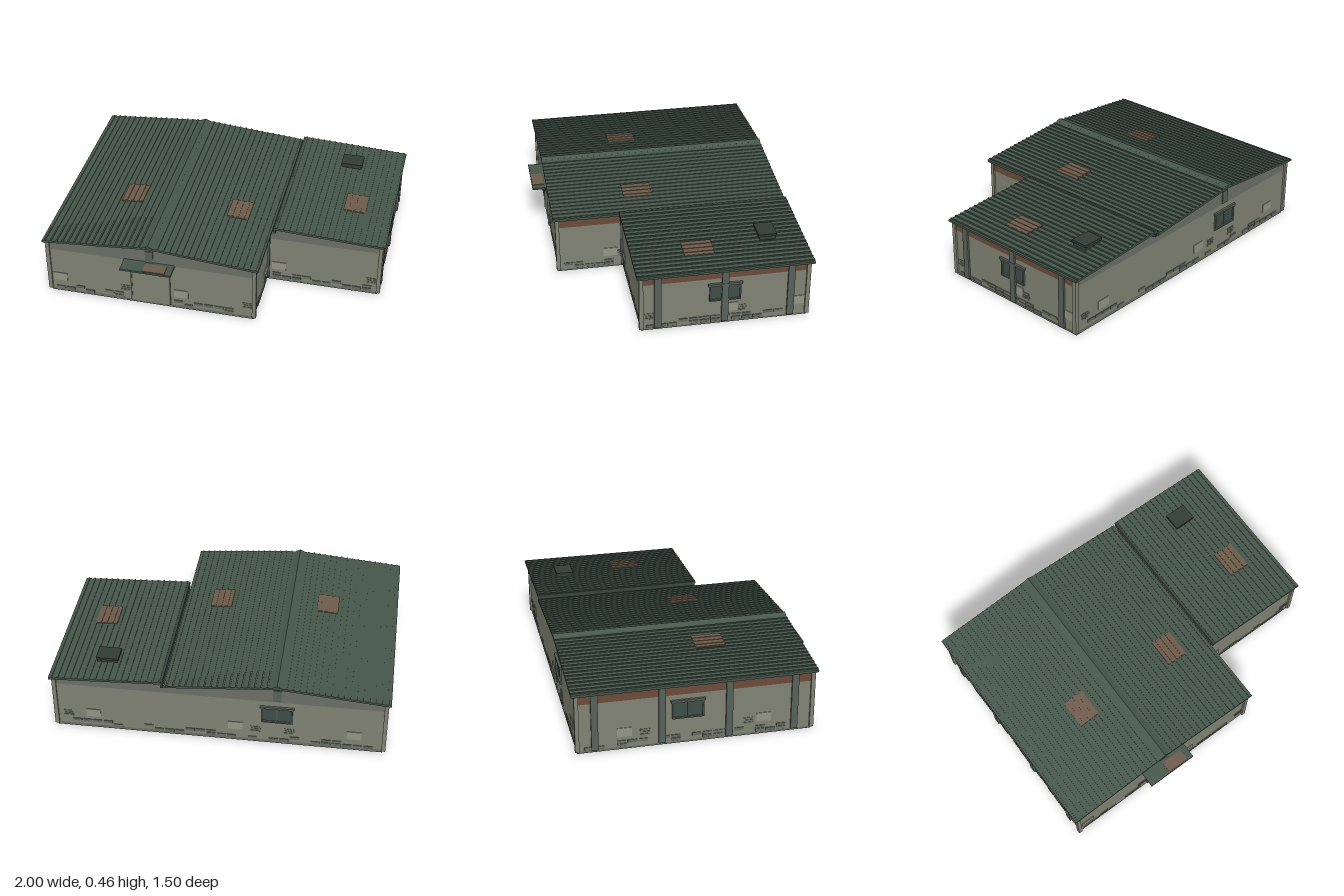
import * as THREE from 'three';

const C = {
  wall: 0x7f8272, gable: 0x6a6f66, band: 0x6b4b3b, post: 0x566059, roof: 0x45564a,
  trim: 0x37443c, rust: 0x6d5b4a, dark: 0x333b37, floor: 0x363531, base: 0x6a6d64,
  patch: 0x939584, brick: 0x5f6860, brick2: 0x6f7367, lamp: 0xb89a3c, glass: 0x3f4d48
};
const mats = {};
const mat = (c) => (mats[c] ??= new THREE.MeshStandardMaterial({ color: c, flatShading: true }));

function add(parent, name, geo, color, x = 0, y = 0, z = 0) {
  const m = new THREE.Mesh(geo, mat(color));
  m.name = name;
  m.position.set(x, y, z);
  parent.add(m);
  return m;
}

// box given by its limits
function box(parent, name, color, x0, x1, y0, y1, z0, z1) {
  return add(parent, name, new THREE.BoxGeometry(x1 - x0, y1 - y0, z1 - z0), color,
    (x0 + x1) / 2, (y0 + y1) / 2, (z0 + z1) / 2);
}

// cross-section in x/y, drawn out along z
function prism(parent, name, color, pts, z0, z1) {
  const shape = new THREE.Shape(pts.map(([x, y]) => new THREE.Vector2(x, y)));
  const geo = new THREE.ExtrudeGeometry(shape, { depth: z1 - z0, bevelEnabled: false });
  return add(parent, name, geo, color, 0, 0, z0);
}

// ribbed sheet whose top follows the line `tops`, ribs running along z
function ribbedRoof(parent, name, tops, z0, z1, thick = 0.013) {
  const pts = [...tops].reverse().map(([x, y]) => [x, y - thick]);
  for (let i = 0; i < tops.length - 1; i++) {
    const [xa, ya] = tops[i], [xb, yb] = tops[i + 1];
    const at = (x) => ya + ((yb - ya) * (x - xa)) / (xb - xa);
    const n = Math.round((xb - xa) / 0.037), step = (xb - xa) / n;
    pts.push([xa, ya]);
    for (let k = 0; k < n; k++) {
      const a = xa + (k + 0.4) * step, b = a + step * 0.25;
      pts.push([a, at(a)], [a, at(a) + 0.005], [b, at(b) + 0.005], [b, at(b)]);
    }
  }
  pts.push(tops[tops.length - 1]);
  return prism(parent, name, C.roof, pts, z0, z1);
}

// group whose local +z is the outward direction of a wall
function wallFace(parent, name, x, z, turn) {
  const g = new THREE.Group();
  g.name = name;
  g.position.set(x, 0, z);
  g.rotation.y = turn;
  parent.add(g);
  return g;
}

let seed = 7;
const rnd = () => (seed = (seed * 16807) % 2147483647) / 2147483647;

// worn bricks along the foot of a wall, from u0 to u1
function footBricks(face, u0, u1) {
  for (let row = 0; row < 2; row++)
    for (let u = u0 + 0.02; u < u1 - 0.07; u += 0.062)
      if (rnd() < 0.6) {
        const y = 0.02 + row * 0.021;
        box(face, 'footBrick', rnd() < 0.6 ? C.brick : C.brick2, u, u + 0.054, y, y + 0.018, 0, 0.004);
      }
}

function patch(face, u) {
  box(face, 'plasterPatch', C.patch, u - 0.043, u + 0.043, 0.083, 0.138, 0, 0.004);
}

function brickCluster(face, u) {
  for (let r = 0; r < 3; r++)
    for (let k = 0; k < 2; k++) {
      const x = u - 0.03 + k * 0.03 + (r % 2) * 0.006;
      box(face, 'exposedBrick', C.brick2, x, x + 0.026, 0.076 + r * 0.015, 0.087 + r * 0.015, 0, 0.003);
    }
}

function windowUnit(face, u) {
  const g = new THREE.Group();
  g.name = 'window';
  g.position.x = u;
  face.add(g);
  box(g, 'glass', C.glass, -0.085, 0.085, 0.17, 0.268, 0, 0.002);
  for (const s of [-1, 1])
    box(g, 'windowJamb', C.post, s * 0.088 - 0.004, s * 0.088 + 0.004, 0.17, 0.268, 0, 0.01);
  box(g, 'windowMullion', C.post, -0.003, 0.003, 0.17, 0.268, 0, 0.006);
  box(g, 'windowSill', C.post, -0.092, 0.092, 0.163, 0.171, 0, 0.012);
  box(g, 'windowHood', C.post, -0.1, 0.1, 0.266, 0.28, 0, 0.014);
}

function gableVent(face, u) {
  box(face, 'gableVent', C.post, u - 0.024, u + 0.024, 0.32, 0.4, 0, 0.006);
}

function sideBand(face, u0, u1, top) {
  box(face, 'rustBand', C.band, u0, u1, 0.312, top, -0.004, 0.003);
}

function posts(face, us, top) {
  for (const u of us) box(face, 'wallPost', C.post, u - 0.02, u + 0.02, 0.018, top, 0, 0.012);
}

export function createModel() {
  const g = new THREE.Group();
  g.name = 'warehouse';
  const back = -0.72, front = 0.645, wingFront = 0.25, ridge = -0.345;

  // floor slab and foundation
  box(g, 'foundation', C.base, -0.97, 0.285, 0.002, 0.02, back, front);
  box(g, 'wingFoundation', C.base, 0.285, 0.97, 0.002, 0.02, back, wingFront);
  box(g, 'underside', C.floor, -0.97, 0.285, 0, 0.002, back, front);
  box(g, 'wingUnderside', C.floor, 0.285, 0.97, 0, 0.002, back, wingFront);

  // walls with grey gables above
  box(g, 'mainWalls', C.wall, -0.975, 0.29, 0.015, 0.312, back, front);
  box(g, 'wingWalls', C.wall, 0.29, 0.975, 0.015, 0.312, back, wingFront);
  prism(g, 'mainGable', C.gable,
    [[-0.975, 0.312], [0.29, 0.312], [0.29, 0.377], [ridge, 0.43], [-0.975, 0.377]], back, front);
  prism(g, 'wingGable', C.gable,
    [[0.29, 0.312], [0.975, 0.312], [0.975, 0.366], [0.335, 0.398], [0.335, 0.37], [0.29, 0.37]], back, wingFront);

  // ribbed roofs, ridge cap and eave trims
  ribbedRoof(g, 'mainRoof', [[-1, 0.386], [ridge, 0.442], [0.315, 0.386]], -0.75, 0.67);
  ribbedRoof(g, 'wingRoof', [[0.323, 0.41], [1, 0.376]], -0.75, 0.275);
  prism(g, 'ridgeCap', C.roof,
    [[ridge - 0.03, 0.442], [ridge + 0.03, 0.442], [ridge, 0.455]], -0.75, 0.67);
  box(g, 'wingStepFascia', C.trim, 0.323, 0.335, 0.368, 0.41, -0.745, 0.27);
  box(g, 'leftEaveTrim', C.trim, -0.999, -0.985, 0.37, 0.385, -0.745, 0.665);
  box(g, 'mainRightEaveTrim', C.trim, 0.3, 0.314, 0.37, 0.385, -0.745, 0.665);
  box(g, 'rightEaveTrim', C.trim, 0.985, 0.999, 0.366, 0.376, -0.745, 0.27);

  // rusty roof sheets, ribbed like the roof
  const sheet = (x, z, y, slope) => {
    const s = new THREE.Group();
    s.name = 'rustySheet';
    s.position.set(x, y, z);
    s.rotation.z = Math.atan(slope);
    box(s, 'sheet', C.rust, -0.066, 0.066, -0.003, 0.006, -0.088, 0.088);
    for (let i = -1; i <= 1; i++)
      box(s, 'sheetRib', C.rust, i * 0.037 - 0.005, i * 0.037 + 0.005, 0.006, 0.01, -0.088, 0.088);
    g.add(s);
  };
  sheet(-0.57, 0.13, 0.423, 0.085);
  sheet(0.09, 0.13, 0.405, -0.085);
  sheet(0.765, -0.115, 0.388, -0.05);

  // roof hatch
  box(g, 'roofHatchCurb', C.trim, 0.62, 0.74, 0.385, 0.41, -0.58, -0.485);
  box(g, 'roofHatchLid', C.dark, 0.613, 0.747, 0.41, 0.425, -0.587, -0.478);

  // corner trims
  for (const [x, z] of [[-0.975, front], [0.29, front], [-0.975, back], [0.975, back], [0.975, wingFront]])
    box(g, 'cornerTrim', C.wall, x - 0.012, x + 0.012, 0.017, 0.37, z - 0.012, z + 0.012);
  box(g, 'innerCornerTrim', C.post, 0.288, 0.302, 0.017, 0.372, wingFront, wingFront + 0.012);

  // front wall: door, lit sign box and canopy
  const f = wallFace(g, 'frontWall', 0, front, 0);
  box(f, 'door', C.wall, -0.458, -0.227, 0.018, 0.285, 0, 0.006);
  for (const x of [-0.46, -0.225])
    box(f, 'doorJamb', C.gable, x - 0.004, x + 0.004, 0.018, 0.285, 0, 0.01);
  box(f, 'lampBox', C.dark, -0.425, -0.26, 0.279, 0.308, 0, 0.02);
  for (const x of [-0.395, -0.36])
    box(f, 'lamp', C.lamp, x - 0.009, x + 0.009, 0.285, 0.302, 0.018, 0.023);
  box(f, 'canopy', C.roof, -0.5, -0.19, 0.308, 0.32, 0, 0.1);
  box(f, 'canopyRustySheet', C.rust, -0.365, -0.23, 0.319, 0.324, 0.025, 0.095);
  for (const x of [-0.485, -0.205])
    box(f, 'canopyBracket', C.trim, x - 0.005, x + 0.005, 0.285, 0.309, 0, 0.02);
  gableVent(f, ridge);
  [-0.91, -0.155].forEach((u) => patch(f, u));
  [-0.5, 0.25].forEach((u) => brickCluster(f, u));
  footBricks(f, -0.96, -0.46);
  footBricks(f, -0.22, 0.28);

  // wing front wall
  const w = wallFace(g, 'wingFrontWall', 0, wingFront, 0);
  patch(w, 0.36);
  brickCluster(w, 0.93);
  footBricks(w, 0.3, 0.96);

  // right walls (local u = -z)
  const r = wallFace(g, 'rightWall', 0.975, 0, Math.PI / 2);
  sideBand(r, -wingFront, -back, 0.366);
  windowUnit(r, 0.235);
  posts(r, [-0.155, 0.235, 0.62], 0.37);
  [0.27, 0.66].forEach((u) => patch(r, u));
  [-0.2, 0.33].forEach((u) => brickCluster(r, u));
  footBricks(r, -0.24, 0.71);
  const r2 = wallFace(g, 'mainRightWall', 0.29, 0, Math.PI / 2);
  sideBand(r2, -front, -wingFront, 0.376);
  patch(r2, -0.325);
  brickCluster(r2, -0.28);
  footBricks(r2, -0.63, -0.26);

  // left wall (local u = z)
  const l = wallFace(g, 'leftWall', -0.975, 0, -Math.PI / 2);
  sideBand(l, back, front, 0.376);
  windowUnit(l, -0.085);
  posts(l, [-0.62, -0.235, 0.155, 0.54], 0.376);
  [-0.45, 0.36].forEach((u) => patch(l, u));
  [-0.33, 0.27].forEach((u) => brickCluster(l, u));
  footBricks(l, -0.7, 0.63);

  // back wall (local u = -x)
  const b = wallFace(g, 'backWall', 0, back, Math.PI);
  windowUnit(b, -ridge);
  gableVent(b, -ridge);
  [-0.75, 0.1, 0.8].forEach((u) => patch(b, u));
  [-0.9, 0.22, 0.42].forEach((u) => brickCluster(b, u));
  footBricks(b, -0.96, 0.96);

  return g;
}
